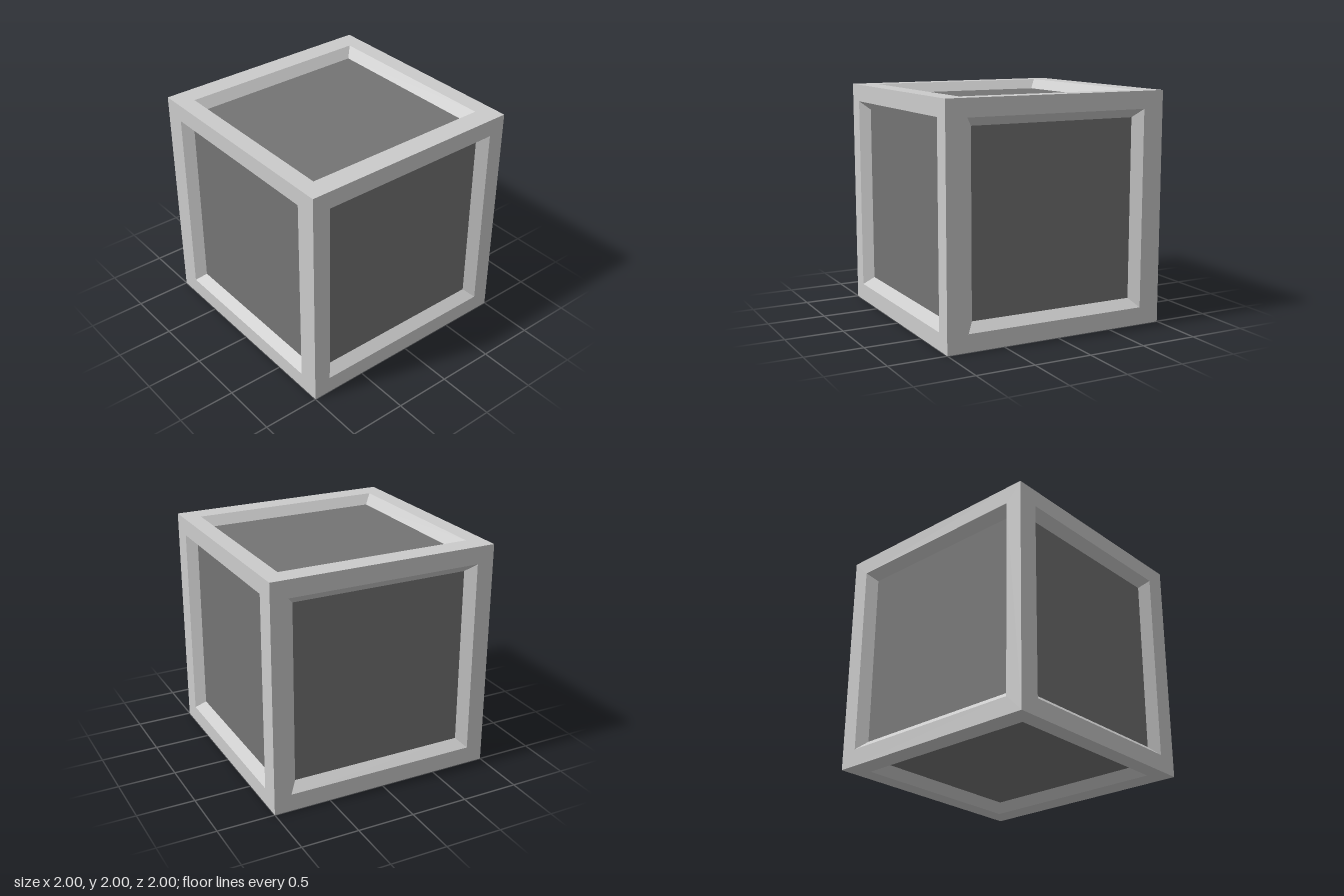
import * as THREE from 'three';

const DEPTH = 0.083;
const frameMaterial = new THREE.MeshStandardMaterial({ color: 0xcccccc, flatShading: true });
const panelMaterial = new THREE.MeshStandardMaterial({ color: 0x747474, flatShading: true });

// Four corners of a rectangle, counter-clockwise seen from +z
const ring = (u, v, z) => [[-u, -v, z], [u, -v, z], [u, v, z], [-u, v, z]];

// Flat-shaded quads joining each ring to the next one inside it
function ringStrip(rings) {
  const points = [];
  for (let r = 0; r < rings.length - 1; r++) {
    const a = rings[r], b = rings[r + 1];
    for (let i = 0; i < 4; i++) {
      const j = (i + 1) % 4;
      points.push(...a[i], ...a[j], ...b[j], ...a[i], ...b[j], ...b[i]);
    }
  }
  const geometry = new THREE.BufferGeometry();
  geometry.setAttribute('position', new THREE.Float32BufferAttribute(points, 3));
  geometry.computeVertexNormals();
  return geometry;
}

// One side of the crate: border, sloped reveal and sunken panel
function createSide(name, openU, openV, innerU, innerV) {
  const side = new THREE.Group();
  side.name = name;
  const frame = new THREE.Mesh(
    ringStrip([ring(1, 1, 1), ring(openU, openV, 1), ring(innerU, innerV, 1 - DEPTH)]),
    frameMaterial
  );
  frame.name = name + 'Frame';
  const panel = new THREE.Mesh(new THREE.PlaneGeometry(2 * innerU, 2 * innerV), panelMaterial);
  panel.name = name + 'Panel';
  panel.position.z = 1 - DEPTH;
  side.add(frame, panel);
  return side;
}

export function createModel() {
  const crate = new THREE.Group();
  crate.name = 'crate';
  const narrow = [0.815, 0.85, 0.745, 0.777];
  const square = [0.85, 0.85, 0.777, 0.777];
  const sides = [
    ['front', 0, 0, narrow],
    ['back', 0, Math.PI, narrow],
    ['left', 0, Math.PI / 2, square],
    ['right', 0, -Math.PI / 2, square],
    ['top', -Math.PI / 2, 0, narrow],
    ['bottom', Math.PI / 2, 0, narrow],
  ];
  for (const [name, rx, ry, sizes] of sides) {
    const side = createSide(name, ...sizes);
    side.rotation.set(rx, ry, 0);
    side.position.y = 1;
    crate.add(side);
  }
  return crate;
}
